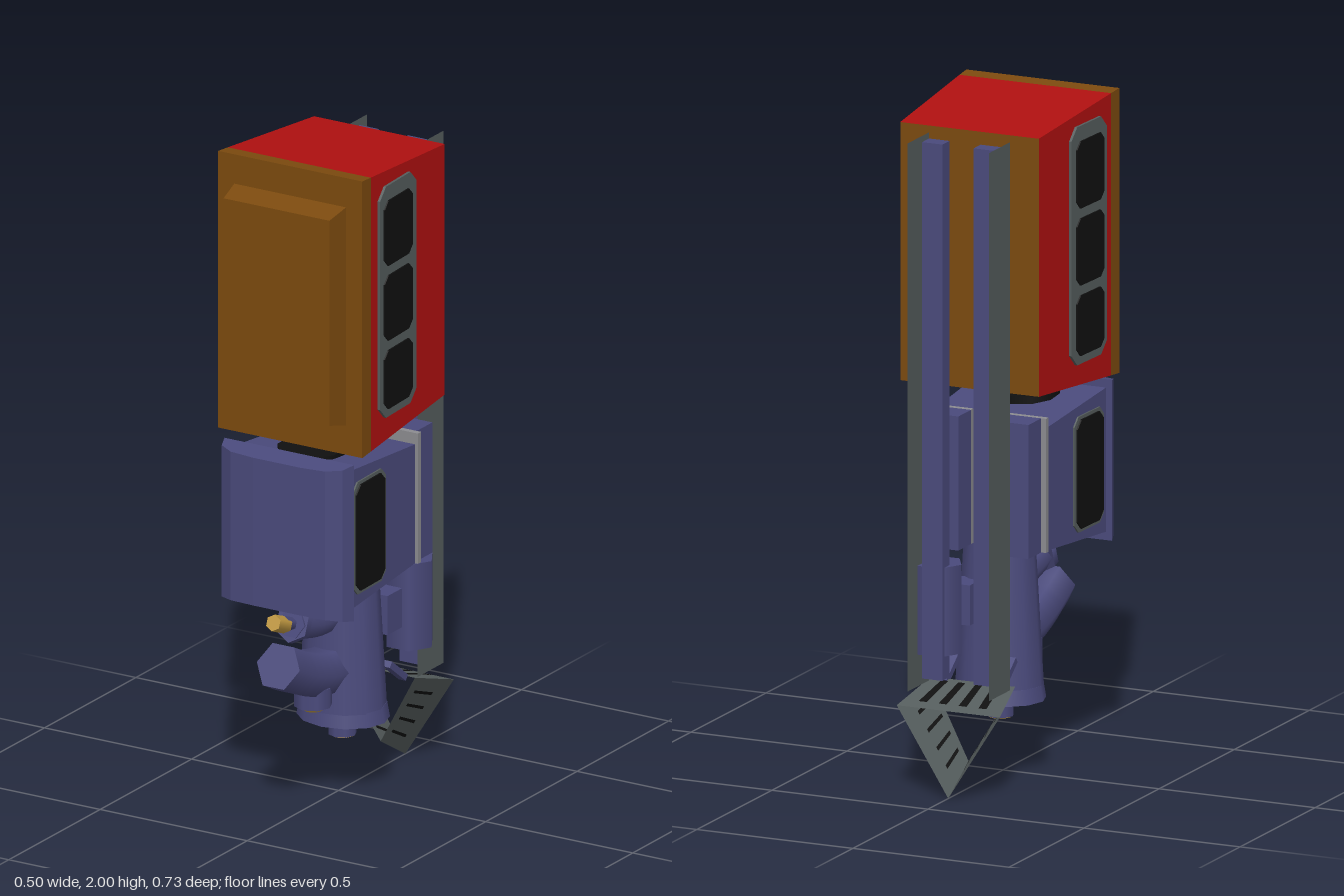
import * as THREE from 'three';

const mat = (name, color, side = THREE.FrontSide) => {
  const m = new THREE.MeshStandardMaterial({ color, side });
  m.name = name;
  return m;
};
const V = (x, y, z) => new THREE.Vector3(x, y, z);

export function createModel() {
  const model = new THREE.Group();
  model.name = 'thrusterPack';
  const red = mat('red', 0xb01010);
  const brown = mat('brown', 0x7c4a0e);
  const blue = mat('slateBlue', 0x4a4a7c);
  const grey = mat('darkGrey', 0x555d5d, THREE.DoubleSide);
  const pale = mat('paleGrey', 0x8c8c90);
  const black = mat('black', 0x101010, THREE.DoubleSide);
  const gold = mat('gold', 0xc29a42);

  const add = (name, geo, material, x = 0, y = 0, z = 0) => {
    const mesh = new THREE.Mesh(geo, material);
    mesh.name = name;
    mesh.position.set(x, y, z);
    model.add(mesh);
    return mesh;
  };
  const box = (name, m, x0, x1, y0, y1, z0, z1) =>
    add(name, new THREE.BoxGeometry(x1 - x0, y1 - y0, z1 - z0), m, (x0 + x1) / 2, (y0 + y1) / 2, (z0 + z1) / 2);

  // Box whose front and back ends differ: [z, half width, bottom, top]
  const taperedBox = (name, m, front, back) => {
    const geo = new THREE.BoxGeometry(2, 2, 2), p = geo.attributes.position;
    for (let i = 0; i < p.count; i++) {
      const [z, w, lo, hi] = p.getZ(i) > 0 ? front : back;
      p.setXYZ(i, p.getX(i) * w, p.getY(i) > 0 ? hi : lo, z);
    }
    geo.computeVertexNormals();
    return add(name, geo, m);
  };

  // Thin panel with cut corners, laid on a side face
  const sidePanel = (name, m, side, x, y, z, w, h, cut, depth, slope) => {
    const a = w / 2, b = h / 2;
    const shape = new THREE.Shape([[-a, cut - b], [cut - a, -b], [a - cut, -b], [a, cut - b],
      [a, b - cut], [a - cut, b], [cut - a, b], [-a, b - cut]].map(([u, v]) => new THREE.Vector2(u, v)));
    const geo = new THREE.ExtrudeGeometry(shape, { depth, bevelEnabled: false });
    add(name, geo, m, side * x, y, z).rotation.y = side * (Math.PI / 2 + slope);
  };

  // Upper tank: red shell, brown back, brown front frame and raised cover
  taperedBox('upperShell', [red, red, red, red, red, brown], [0.215, 0.243, 1.154, 1.996], [-0.223, 0.222, 1.19, 1.96]);
  taperedBox('frontFrame', brown, [0.265, 0.245, 1.15, 2], [0.215, 0.243, 1.154, 1.996]);
  taperedBox('frontCover', brown, [0.34, 0.18, 1.26, 1.89], [0.265, 0.19, 1.24, 1.91]);

  // Lower body with a bowed front plate
  taperedBox('lowerBody', blue, [0.27, 0.2, 0.67, 1.1], [-0.115, 0.19, 0.7, 1.065]);
  const bow = [[-0.22, 0.27], [0.22, 0.27], [0.205, 0.31], [0.16, 0.333], [0.08, 0.34],
    [-0.08, 0.34], [-0.16, 0.333], [-0.205, 0.31]].map(([x, z]) => new THREE.Vector2(x, -z)).reverse();
  const plate = new THREE.ExtrudeGeometry(new THREE.Shape(bow), { depth: 0.48, bevelEnabled: false });
  plate.rotateX(-Math.PI / 2).translate(0, 0.645, 0);
  const pp = plate.attributes.position;
  for (let i = 0; i < pp.count; i++) {
    const inset = (pp.getZ(i) - 0.27) / 0.07 * 0.013;
    pp.setY(i, pp.getY(i) + (pp.getY(i) < 0.9 ? inset : -inset));
  }
  plate.computeVertexNormals();
  add('lowerFrontPlate', plate, blue);
  add('bodyVent', new THREE.CylinderGeometry(0.1, 0.1, 0.437, 10), black, 0, 0.885, 0.15);

  // Parts on both sides
  for (const s of [1, -1]) {
    sidePanel('windowFrame', grey, s, 0.236, 1.59, 0.067, 0.215, 0.71, 0.035, 0.008, 0.047);
    for (const [y, h] of [[1.8, 0.2], [1.57, 0.2], [1.35, 0.18]])
      sidePanel('window', black, s, 0.2425, y, 0.07, 0.165, h, 0.022, 0.006, 0.047);
    sidePanel('lowerWindowFrame', grey, s, 0.197, 0.882, 0.155, 0.185, 0.345, 0.025, 0.005, 0.026);
    sidePanel('lowerWindow', black, s, 0.201, 0.882, 0.155, 0.165, 0.325, 0.025, 0.006, 0.026);
    const span = (a, b) => (s > 0 ? [a, b] : [-b, -a]);
    box('bracketStrip', pale, ...span(0.04, 0.2), 0.7, 1.1, -0.13, -0.112);
    box('bracket', blue, ...span(0.04, 0.185), 0.7, 1.1, -0.215, -0.13);
    box('rail', blue, ...span(0.05, 0.115), 0.33, 1.93, -0.3, -0.253);
    const fin = add('railFin', new THREE.PlaneGeometry(0.142, 1.635), grey, s * 0.13, 1.122, -0.294);
    fin.rotation.y = s * Math.PI / 2;
    const strut = add('strut', new THREE.BoxGeometry(0.025, 0.02, 0.11), blue, s * 0.09, 0.335, -0.165);
    strut.rotation.x = -0.65;
  }

  // Central column, flange and bottom nozzle
  const column = add('column', new THREE.CylinderGeometry(0.106, 0.132, 0.45, 12), blue, 0, 0.49, -0.023);
  const flange = add('columnFlange', new THREE.CylinderGeometry(0.132, 0.14, 0.045, 12), blue, 0, 0.248, -0.025);
  column.scale.z = flange.scale.z = 0.87;
  add('bottomNozzle', new THREE.CylinderGeometry(0.042, 0.042, 0.06, 8), blue, 0, 0.2, -0.021);
  add('bottomNozzleTip', new THREE.CylinderGeometry(0.034, 0.034, 0.006, 8), gold, 0, 0.169, -0.021);

  // Hex pipes with a closed front end
  const pipe = (name, points, r) => {
    const curve = new THREE.CatmullRomCurve3(points.map(([y, z]) => V(0, y, z)));
    add(name, new THREE.TubeGeometry(curve, 8, r, 6), blue);
    const end = curve.getPoint(1), dir = curve.getTangent(1);
    const cap = add(name + 'Cap', new THREE.CircleGeometry(r, 6), blue, end.x, end.y, end.z);
    cap.lookAt(end.clone().add(dir));
    return cap;
  };
  pipe('elbowPipe', [[0.39, 0.02], [0.4, 0.12], [0.43, 0.22], [0.483, 0.33]], 0.073);
  pipe('upperPipe', [[0.555, 0.03], [0.56, 0.13], [0.575, 0.2], [0.594, 0.26]], 0.046);
  const rod = (name, m, r, len, y, z) => {
    add(name, new THREE.CylinderGeometry(r, r, len, 6), m, 0, y, z).rotation.x = Math.PI / 2 - 0.38;
  };
  rod('upperPipeCollar', blue, 0.058, 0.025, 0.588, 0.243);
  rod('upperPipeNeck', blue, 0.02, 0.05, 0.6, 0.28);
  rod('upperPipeNozzle', gold, 0.025, 0.07, 0.612, 0.325);
  add('dropPort', new THREE.CylinderGeometry(0.056, 0.056, 0.06, 8), blue, 0, 0.336, 0.14);
  add('dropPortTip', new THREE.CylinderGeometry(0.042, 0.03, 0.014, 8), gold, 0, 0.3, 0.14);

  // Side canister and its link to the column
  add('canister', new THREE.CylinderGeometry(0.075, 0.075, 0.265, 6), blue, 0.095, 0.532, -0.235).rotation.y = Math.PI / 6;
  box('canisterLink', blue, 0.02, 0.11, 0.47, 0.59, -0.18, -0.09);

  // Slotted three-sided foot, open at both ends
  const quad = (name, m, a, b, c, d) => {
    const geo = new THREE.BufferGeometry().setFromPoints([a, b, c, a, c, d]);
    geo.computeVertexNormals();
    add(name, geo, m);
  };
  const rear = [V(-0.165, 0.26, -0.365), V(0, 0, -0.365), V(0.165, 0.26, -0.365)];
  const fore = [V(-0.135, 0.31, -0.2), V(0, 0.08, -0.23), V(0.135, 0.31, -0.2)];
  for (let i = 0; i < 3; i++) {
    const j = (i + 1) % 3, top = i === 2;
    quad('footPanel', grey, rear[i], rear[j], fore[j], fore[i]);
    const at = (u, v, n) => rear[i].clone().lerp(rear[j], u)
      .lerp(fore[i].clone().lerp(fore[j], u), v).add(n);
    const normal = rear[j].clone().sub(rear[i]).cross(fore[i].clone().sub(rear[i])).normalize();
    for (let k = 0; k < 4; k++) {
      const u = 0.2 + k * 0.2, half = top ? 0.04 : 0.02;
      for (const side of [0.003, -0.003]) {
        const n = normal.clone().multiplyScalar(side);
        const [v0, v1] = top ? [0.18, 0.9] : [0.35, 0.85];
        quad('footSlot', black, at(u - half, v0, n), at(u + half, v0, n), at(u + half, v1, n), at(u - half, v1, n));
      }
    }
  }
  return model;
}
